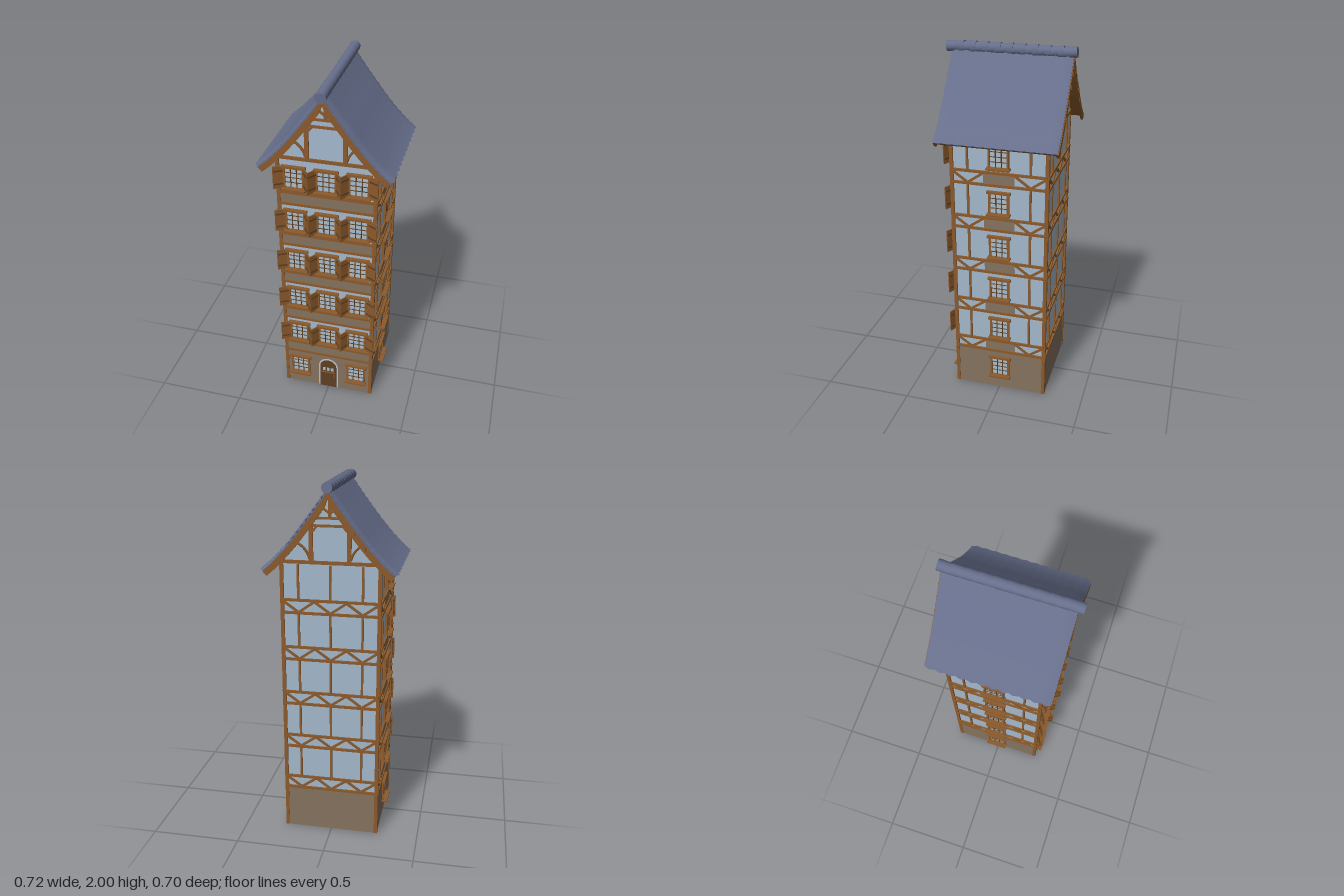
import * as THREE from 'three';

const mat = (name, color, side = THREE.FrontSide) => {
  const m = new THREE.MeshStandardMaterial({ color, side });
  m.name = name;
  return m;
};
const H = 0.262;         // half width of the walls
const STOREY = 0.2625;   // storey pitch
const ZC = -0.006;       // depth centre of the house body

export function createModel() {
  const M = {
    plaster: mat('plaster', 0xa3b8cc, THREE.DoubleSide),
    infill: mat('brown infill', 0x85725f),
    wood: mat('timber', 0x8b5a2b),
    dark: mat('dark timber', 0x5f3f22),
    roof: mat('slate', 0x666e8b, THREE.DoubleSide),
    glass: mat('glass', 0xaabdcc),
    stone: mat('pale stone', 0xb9bdc1),
  };
  const model = new THREE.Group();
  model.name = 'timberTower';
  const group = (parent, name) => {
    const g = new THREE.Group();
    g.name = name;
    parent.add(g);
    return g;
  };
  const add = (parent, name, geo, m, x = 0, y = 0, z = 0) => {
    const mesh = new THREE.Mesh(geo, m);
    mesh.name = name;
    mesh.position.set(x, y, z);
    parent.add(mesh);
    return mesh;
  };
  const box = (p, name, w, h, d, m, x, y, z) => add(p, name, new THREE.BoxGeometry(w, h, d), m, x, y, z);
  // Straight timber between two points of a wall
  const bar = (p, name, x0, y0, x1, y1, w = 0.014, d = 0.008, m = M.wood) => {
    const b = box(p, name, Math.hypot(x1 - x0, y1 - y0), w, d, m, (x0 + x1) / 2, (y0 + y1) / 2, 0.001 + d / 2);
    b.rotation.z = Math.atan2(y1 - y0, x1 - x0);
    return b;
  };

  // Roof curve from ridge to eaves, and points offset from it
  const curve = new THREE.SplineCurve([[0, 1.975], [0.065, 1.882], [0.13, 1.795], [0.21, 1.693],
    [0.29, 1.606], [0.352, 1.55]].map(p => new THREE.Vector2(...p)));
  const roofPoint = (t, off = 0, along = 0) => {
    const p = curve.getPoint(t), d = curve.getTangent(t);
    return new THREE.Vector2(Math.max(0, p.x - d.y * off + d.x * along), p.y + d.x * off + d.y * along);
  };
  const steps = n => Array.from({ length: n + 1 }, (_, i) => i / n);

  // Window with frame, lattice, lintel and sill; y is its foot
  const addWindow = (wall, x, y) => {
    const g = group(wall, 'window');
    g.position.set(x, y, 0);
    box(g, 'pane', 0.096, 0.112, 0.016, M.glass, 0, 0.068, 0);
    for (const s of [-1, 1]) box(g, 'jamb', 0.012, 0.125, 0.024, M.wood, s * 0.051, 0.066, 0.002);
    for (const s of [-1, 1]) box(g, 'latticeUpright', 0.005, 0.115, 0.022, M.dark, s * 0.016, 0.068, 0);
    for (const v of [0.04, 0.068, 0.096]) box(g, 'latticeRail', 0.096, 0.004, 0.021, M.dark, 0, v, 0);
    box(g, 'lintel', 0.132, 0.012, 0.032, M.wood, 0, 0.13, 0.006);
    box(g, 'sill', 0.128, 0.009, 0.046, M.wood, 0, 0.0045, 0.015);
  };

  // Pair of half-open shutters with battens
  const addShutters = (wall, x, y) => {
    for (const s of [-1, 1]) {
      const hinge = group(wall, 'shutter');
      hinge.position.set(x + s * 0.054, y, 0.008);
      hinge.rotation.y = -s * (x * s > 0.1 ? 0.5 : 0.95);
      box(hinge, 'shutterBoard', 0.058, 0.13, 0.006, M.wood, s * 0.029, 0.068, 0);
      for (const v of [0.03, 0.106]) box(hinge, 'shutterBatten', 0.05, 0.009, 0.012, M.dark, s * 0.029, v, 0);
    }
  };

  // V of two braces between the floor beams
  const addBraces = (wall, x, y, left, right) => {
    bar(wall, 'brace', x - left, y + 0.062, x - 0.004, y + 0.006, 0.013, 0.007);
    bar(wall, 'brace', x + 0.004, y + 0.006, x + right, y + 0.062, 0.013, 0.007);
  };

  // Framing and curved braces of a gable
  const addGable = wall => {
    bar(wall, 'tieBeam', -H, 1.583, H, 1.583, 0.018);
    bar(wall, 'collarBeam', -0.125, 1.773, 0.125, 1.773, 0.013);
    bar(wall, 'upperCollar', -0.095, 1.812, 0.095, 1.812, 0.012);
    bar(wall, 'kingPost', 0, 1.812, 0, 1.945, 0.016);
    for (const s of [-1, 1]) {
      bar(wall, 'gablePost', s * 0.1, 1.59, s * 0.1, 1.80, 0.022, 0.01);
      bar(wall, 'topBrace', 0, 1.835, s * 0.055, 1.875, 0.011);
      bar(wall, 'collarBrace', s * 0.1, 1.735, s * 0.065, 1.773, 0.011);
      const arc = new THREE.QuadraticBezierCurve3(new THREE.Vector3(s * 0.108, 1.602, 0.005),
        new THREE.Vector3(s * 0.125, 1.665, 0.005), new THREE.Vector3(s * 0.18, 1.685, 0.005));
      add(wall, 'curvedBrace', new THREE.TubeGeometry(arc, 8, 0.007, 6), M.wood);
    }
  };

  // Four walls, each built flat with its outside towards local +z
  const gableTop = steps(24).map(t => roofPoint(t, -0.018)).filter(p => p.x < H);
  const outline = gabled => {
    const top = gabled ? [new THREE.Vector2(H, 1.605), ...gableTop.slice().reverse(),
      ...gableTop.slice(1).map(p => new THREE.Vector2(-p.x, p.y)), new THREE.Vector2(-H, 1.605)]
      : [new THREE.Vector2(H, 1.605), new THREE.Vector2(-H, 1.605)];
    return new THREE.Shape([new THREE.Vector2(-H, 0), new THREE.Vector2(H, 0), ...top]);
  };
  const body = group(model, 'houseBody');
  body.position.z = ZC;
  ['frontWall', 'rightSideWall', 'backWall', 'leftSideWall'].forEach((name, k) => {
    const holder = group(body, name);
    holder.rotation.y = k * Math.PI / 2;
    const wall = group(holder, 'wallFace');
    wall.position.z = H;
    const front = k === 0, back = k === 2, side = !front && !back;
    add(wall, 'plasterWall', new THREE.ShapeGeometry(outline(!side)), M.plaster);
    box(wall, 'groundFloorFacing', 2 * H, 0.26, 0.004, M.infill, 0, 0.13, 0.003);

    // Floor beams, infill and posts of every storey
    for (let i = 0; i < 5; i++) {
      const y = 0.258 + i * STOREY;
      for (const v of [y, y + 0.07]) bar(wall, 'floorBeam', -H, v, H, v, 0.014, 0.01);
      if (front) box(wall, 'infillBand', 2 * H, 0.07, 0.004, M.infill, 0, y + 0.035, 0.003);
      if (side) {
        box(wall, 'infillPanel', 0.17, 0.07, 0.004, M.infill, 0, y + 0.035, 0.003);
        addWindow(wall, 0, y + 0.094);
      }
      if (!front) {
        for (const s of [-1, 1]) {
          bar(wall, 'post', s * 0.172, y + 0.07, s * 0.172, y + STOREY, 0.012);
          addBraces(wall, s * 0.172, y, 0.083, 0.083);
        }
      }
      if (back) {
        bar(wall, 'post', 0, y + 0.07, 0, y + STOREY, 0.012);
        addBraces(wall, 0, y, 0.083, 0.083);
      }
      if (front) for (const x of [-0.173, 0, 0.173]) {
        addWindow(wall, x, y + 0.094);
        addShutters(wall, x, y + 0.094);
      }
    }
    if (side) addWindow(wall, 0, 0.083);
    else addGable(wall);

    // Ground floor front: two windows and an arched door
    if (front) {
      for (const x of [-0.173, 0.173]) addWindow(wall, x, 0.083);
      const arch = w => {
        const s = new THREE.Shape();
        s.moveTo(-w, 0).lineTo(w, 0).lineTo(w, 0.165);
        s.absellipse(0, 0.165, w, w, 0, Math.PI, false);
        return s;
      };
      const slab = (label, w, d, z, m) =>
        add(wall, label, new THREE.ExtrudeGeometry(arch(w), { depth: d, bevelEnabled: false, curveSegments: 14 }), m, 0, 0, z);
      slab('doorSurround', 0.06, 0.007, 0.001, M.stone);
      slab('door', 0.05, 0.02, -0.01, M.dark);
      for (const x of [-0.025, 0, 0.025]) box(wall, 'doorPane', 0.017, 0.024, 0.004, M.glass, x, 0.145, 0.011);
      box(wall, 'doorRail', 0.088, 0.006, 0.005, M.wood, 0, 0.12, 0.0115);
      box(wall, 'doorHandle', 0.006, 0.014, 0.01, M.wood, 0.037, 0.095, 0.013);
    }
  });
  for (const x of [-1, 1]) for (const z of [-1, 1])
    box(body, 'cornerPost', 0.02, 1.59, 0.02, M.wood, x * (H - 0.002), 0.795, z * (H - 0.002));

  // Overlapping slate courses with a zigzag lower edge
  const roof = group(model, 'roof');
  const COURSES = 16, COLS = 24, Z0 = -0.332, Z1 = 0.322;
  const slateCourse = (s, i) => {
    const pos = [], idx = [];
    for (let r = 0; r < 2; r++) for (let j = 0; j <= COLS; j++) {
      const edge = j === 0 || j === COLS ? -0.008 : 0;
      const p = roofPoint((i + r) / COURSES, r * 0.005 + edge, r && j % 2 ? 0.009 : 0);
      pos.push(s * p.x, p.y, Z0 + (Z1 - Z0) * j / COLS);
    }
    for (let j = 0; j < COLS; j++) {
      const a = j, b = j + 1, c = a + COLS + 1, d = b + COLS + 1;
      idx.push(...(s > 0 ? [a, b, c, b, d, c] : [a, c, b, b, c, d]));
    }
    const g = new THREE.BufferGeometry();
    g.setAttribute('position', new THREE.Float32BufferAttribute(pos, 3));
    g.setIndex(idx);
    g.computeVertexNormals();
    return g;
  };
  // Curved layer of the roof between two offsets
  const layer = (name, s, a, b, z0, z1, m) => {
    const pts = [...steps(12).map(t => roofPoint(t, a)), ...steps(12).reverse().map(t => roofPoint(t, b))];
    const shape = new THREE.Shape(pts.map(p => new THREE.Vector2(s * p.x, p.y)));
    add(roof, name, new THREE.ExtrudeGeometry(shape, { depth: z1 - z0, bevelEnabled: false }), m, 0, 0, z0);
  };
  for (const s of [-1, 1]) {
    for (let i = 0; i < COURSES; i++) add(roof, 'slateCourse', slateCourse(s, i), M.roof);
    layer('slateBed', s, -0.008, -0.015, Z0, Z1, M.roof);
    layer('roofBoarding', s, -0.015, -0.022, Z0 + 0.004, Z1 - 0.004, M.wood);
    layer('bargeBoard', s, -0.014, -0.045, Z1 - 0.012, Z1 + 0.001, M.wood);
    layer('bargeBoard', s, -0.014, -0.045, Z0 - 0.004, Z0 + 0.01, M.wood);
    // Small purlin ends on the rear board
    for (const t of [0.2, 0.33, 0.46, 0.6]) {
      const p = roofPoint(t, -0.032);
      box(roof, 'purlinEnd', 0.016, 0.016, 0.012, M.wood, s * p.x, p.y, Z0 - 0.002);
    }
  }

  // Tilted, overlapping ridge tiles
  for (let i = 0; i < 10; i++) {
    const tile = add(roof, 'ridgeTile', new THREE.CylinderGeometry(0.028, 0.028, 0.098, 18), M.roof,
      0, 1.968, -0.3 + i * 0.0667);
    tile.rotation.x = Math.PI / 2 + 0.08;
  }
  return model;
}
